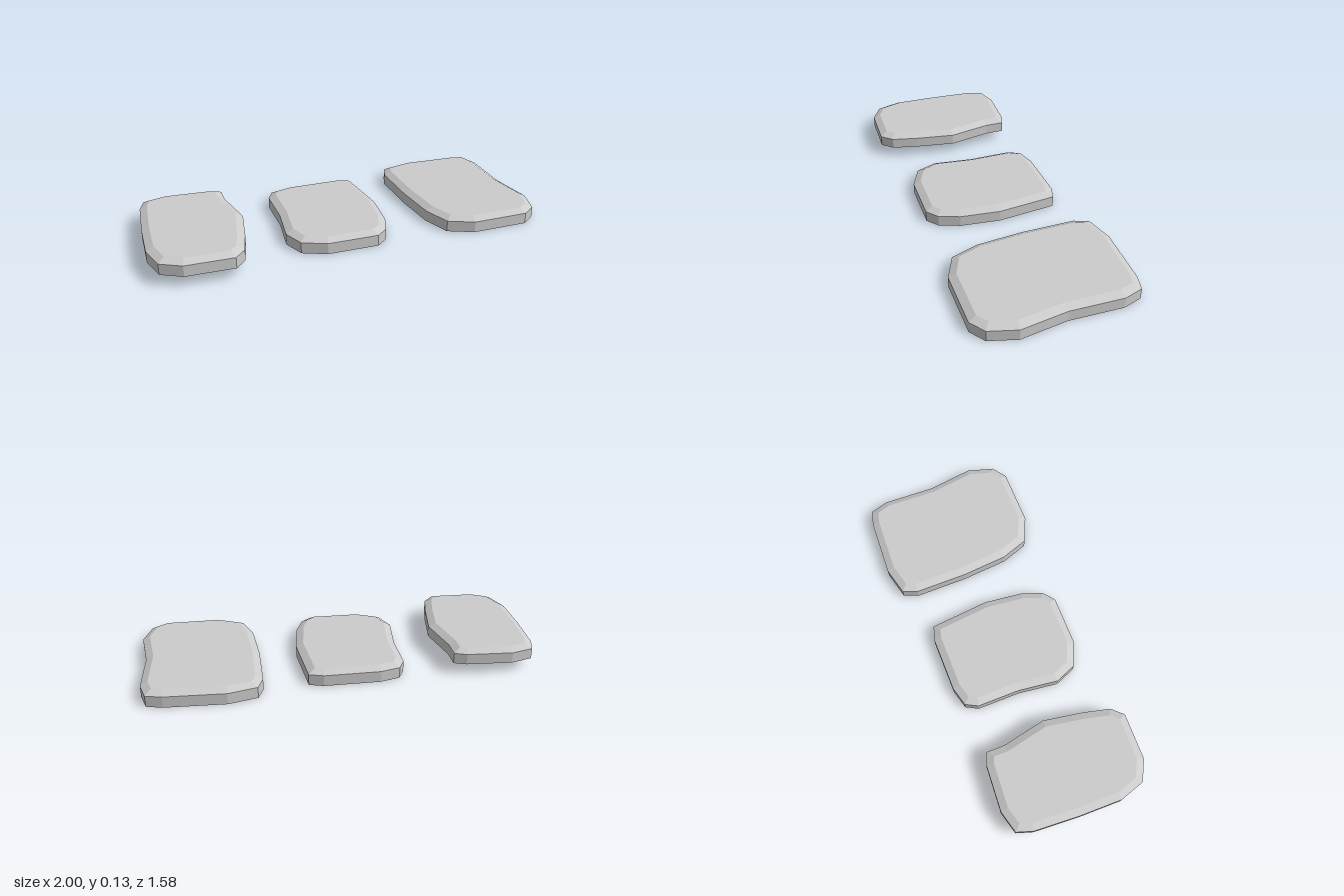
import * as THREE from 'three';

const BEVEL = 0.037;

// Plan outlines as [x, z], clockwise seen from above, starting at the back tip
const STONES = [
  { name: 'rightStone', base: 0.055, edge: 0.11, top: 0.13, outline: [
    [-0.64, 0.015], [-0.595, 0.1], [-0.45, 0.275], [-0.385, 0.47], [-0.35, 0.605], [-0.37, 0.68], [-0.58, 0.785],
    [-0.695, 0.785], [-0.79, 0.69], [-0.89, 0.495], [-0.985, 0.285], [-1, 0.2], [-0.915, 0.12], [-0.705, 0.025]] },
  { name: 'middleStone', base: 0, edge: 0.057, top: 0.077, outline: [
    [0, -0.345], [0.05, -0.27], [0.17, -0.09], [0.245, 0.1], [0.26, 0.21], [0.23, 0.28], [0, 0.4],
    [-0.13, 0.41], [-0.22, 0.335], [-0.295, 0.14], [-0.4, -0.055], [-0.4, -0.125], [-0.325, -0.195], [-0.075, -0.33]] },
  { name: 'leftStone', base: 0, edge: 0.057, top: 0.077, outline: [
    [0.64, -0.79], [0.71, -0.72], [0.83, -0.48], [0.97, -0.29], [1, -0.15], [0.96, -0.07], [0.7, 0.07],
    [0.56, 0.08], [0.45, -0.02], [0.32, -0.22], [0.19, -0.46], [0.18, -0.54], [0.29, -0.64], [0.56, -0.77]] },
];

// Mitred inward offset of a closed outline
function inset(points, amount) {
  const n = points.length;
  const inward = points.map((p, i) => {
    const d = points[(i + 1) % n].clone().sub(p).normalize();
    return new THREE.Vector2(-d.y, d.x);
  });
  return points.map((p, i) => {
    const a = inward[(i + n - 1) % n], b = inward[i];
    return p.clone().addScaledVector(a.clone().add(b), amount / (1 + a.dot(b)));
  });
}

// Flat slab: vertical sides, bevelled rim, closed top and bottom
function slabGeometry({ outline, base, edge, top }) {
  const outer = outline.map(([x, z]) => new THREE.Vector2(x, z));
  const inner = inset(outer, BEVEL);
  const n = outer.length;
  const positions = [], index = [];
  for (const [ring, y] of [[outer, base], [outer, edge], [inner, top]]) {
    for (const p of ring) positions.push(p.x, y, p.y);
  }

  // Side and bevel bands
  for (let band = 0; band < 2; band++) {
    for (let i = 0; i < n; i++) {
      const a = band * n + i, b = band * n + (i + 1) % n;
      index.push(a, a + n, b, b, a + n, b + n);
    }
  }

  // Caps, wound to face down at the base and up at the top
  const cap = (ring, offset, up) => {
    for (const [i, j, k] of THREE.ShapeUtils.triangulateShape(ring, [])) {
      const facesUp = ring[j].clone().sub(ring[i]).cross(ring[k].clone().sub(ring[i])) < 0;
      const [q, r] = facesUp === up ? [j, k] : [k, j];
      index.push(offset + i, offset + q, offset + r);
    }
  };
  cap(outer, 0, false);
  cap(inner, 2 * n, true);

  const indexed = new THREE.BufferGeometry();
  indexed.setAttribute('position', new THREE.Float32BufferAttribute(positions, 3));
  indexed.setIndex(index);
  const geometry = indexed.toNonIndexed();
  geometry.computeVertexNormals();
  return geometry;
}

export function createModel() {
  const group = new THREE.Group();
  group.name = 'steppingStones';
  const material = new THREE.MeshStandardMaterial({ color: 0xcccccc, flatShading: true });
  for (const stone of STONES) {
    const mesh = new THREE.Mesh(slabGeometry(stone), material);
    mesh.name = stone.name;
    group.add(mesh);
  }
  return group;
}
